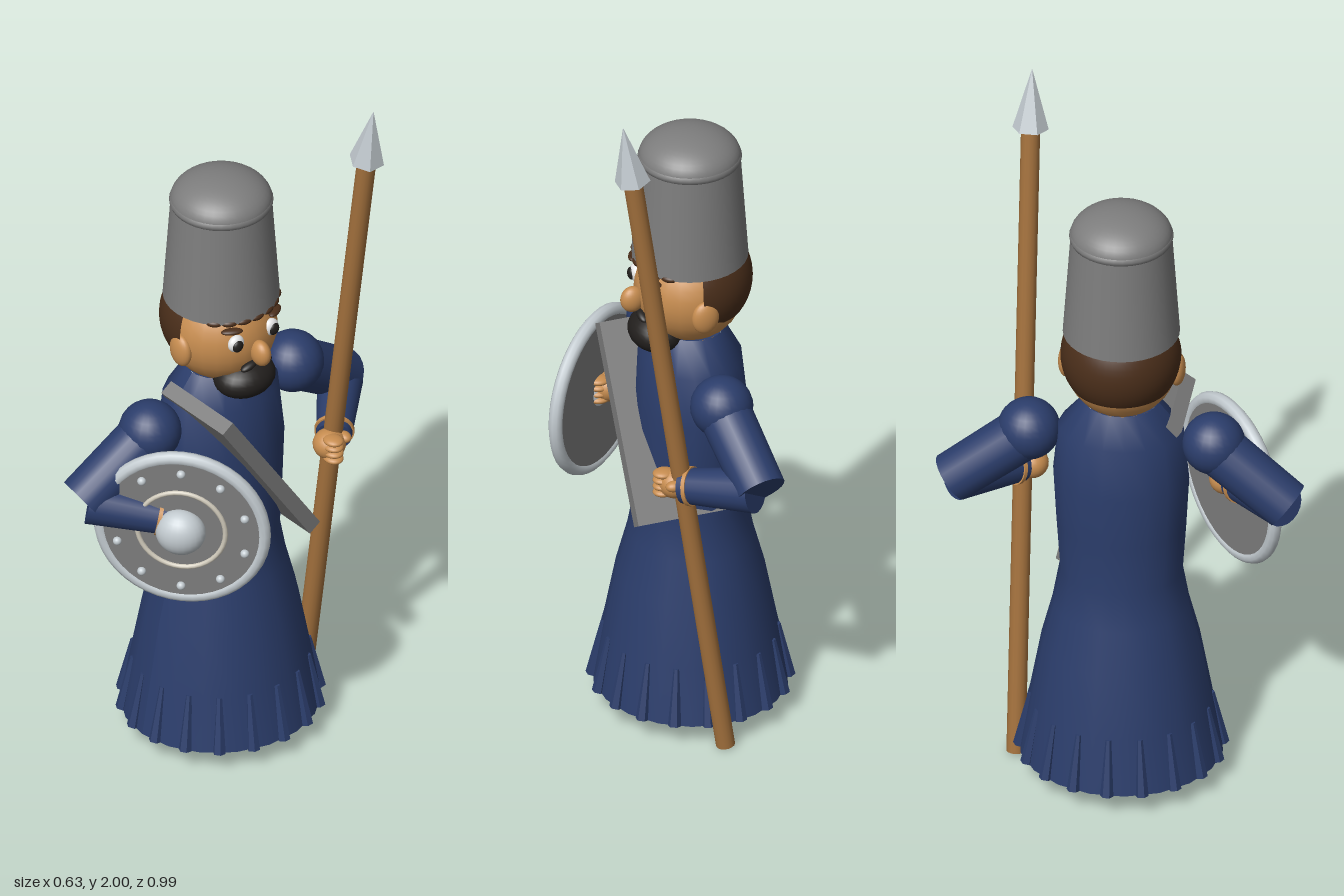
import * as THREE from 'three';

const mat = (name, color) => Object.assign(new THREE.MeshStandardMaterial({ color }), { name });
const V = (x, y, z) => new THREE.Vector3(x, y, z);

export function createModel() {
  const M = {
    blue: mat('robe blue', 0x2b3d6b), grey: mat('iron grey', 0x7d7d7d),
    silver: mat('silver', 0xc3cbd0), wood: mat('spear wood', 0xa3713d),
    skin: mat('skin', 0xc68c4f), hair: mat('hair brown', 0x4a2e1a),
    black: mat('beard black', 0x221f1d), white: mat('eye white', 0xf2f2f2),
    cream: mat('ring cream', 0xcfc9ba),
  };
  const model = new THREE.Group();
  model.name = 'guard';

  const add = (name, geo, m, pos = [0, 0, 0], parent = model) => {
    const mesh = new THREE.Mesh(geo, m);
    mesh.name = name;
    mesh.position.set(...pos);
    parent.add(mesh);
    return mesh;
  };
  const ball = (name, m, pos, r, parent = model) => {
    const mesh = add(name, new THREE.SphereGeometry(1, 24, 16), m, pos, parent);
    mesh.scale.set(...(Array.isArray(r) ? r : [r, r, r]));
    return mesh;
  };
  // Cylinder running from a (radius ra) to b (radius rb)
  const rod = (name, m, a, b, ra, rb, sides = 20, parent = model) => {
    let geo = new THREE.CylinderGeometry(rb, ra, a.distanceTo(b), sides);
    if (sides < 8) {
      geo = geo.toNonIndexed();
      geo.computeVertexNormals();
    }
    const mesh = add(name, geo, m, a.clone().add(b).multiplyScalar(0.5).toArray(), parent);
    mesh.quaternion.setFromUnitVectors(V(0, 1, 0), b.clone().sub(a).normalize());
    return mesh;
  };

  const CX = -0.04; // body axis; the figure faces +x

  // Robe: elliptical lathe, rows of [y, x radius, z radius]
  const rows = [[0.06, 0.262, 0.275], [0.22, 0.235, 0.247], [0.4, 0.2, 0.215], [0.52, 0.168, 0.185],
    [0.63, 0.148, 0.166], [0.78, 0.15, 0.176], [0.93, 0.151, 0.184], [1.08, 0.135, 0.17], [1.165, 0.09, 0.1]];
  const pts = rows.map(([y, , rz]) => new THREE.Vector2(rz, y));
  const robe = new THREE.LatheGeometry(pts, 18);
  const p = robe.attributes.position;
  for (let i = 0; i < p.count; i++) {
    const [, rx, rz] = rows[i % rows.length];
    p.setX(i, p.getX(i) * rx / rz);
  }
  robe.computeVertexNormals();
  add('robe', robe, M.blue, [CX, 0, 0]);
  const hem = add('robeUnderside', new THREE.CircleGeometry(1, 18), M.blue, [CX, 0.062, 0]);
  hem.rotation.x = Math.PI / 2;
  hem.scale.set(0.262, 0.275, 1);
  const collar = add('robeCollar', new THREE.CircleGeometry(1, 18), M.blue, [CX, 1.165, 0]);
  collar.rotation.x = -Math.PI / 2;
  collar.scale.set(0.09, 0.1, 1);

  // Fringe of tassels round the hem
  for (let i = 0; i < 18; i++) {
    const a = i * Math.PI / 9, c = Math.cos(a), s = Math.sin(a);
    rod('hemTassel', M.blue, V(CX + 0.262 * c, 0.06, 0.272 * s),
      V(CX + 0.232 * c, 0.22, 0.242 * s), 0.018, 0.008, 6);
  }

  // Shoes
  for (const s of [-1, 1]) add('shoe', new THREE.BoxGeometry(0.2, 0.06, 0.1), M.hair, [0.05, 0.076, s * 0.085]);

  // Diagonal chest strap
  const strap = add('chestStrap', new THREE.BoxGeometry(0.255, 0.555, 0.042), M.grey, [0.042, 0.885, 0]);
  strap.rotation.x = Math.atan2(0.31, 0.47);

  // Head and hair
  ball('head', M.skin, [-0.037, 1.285, 0], [0.15, 0.152, 0.152]);
  rod('neck', M.skin, V(CX, 1.1, 0), V(CX, 1.2, 0), 0.075, 0.075);
  const hairMat = M.hair;
  hairMat.side = THREE.DoubleSide;
  add('hair', new THREE.SphereGeometry(0.162, 28, 18, -0.55 * Math.PI, 1.1 * Math.PI, 0, 0.68 * Math.PI),
    hairMat, [-0.045, 1.315, 0]);
  for (let i = -3; i <= 3; i++) {
    const a = i * 0.28;
    const lock = ball('fringeLock', M.hair, [-0.037 + 0.148 * Math.cos(a), 1.385, 0.148 * Math.sin(a)], [0.012, 0.01, 0.022]);
    lock.rotation.y = -a;
  }

  // Face
  ball('nose', M.skin, [0.125, 1.272, 0], [0.034, 0.038, 0.024]);
  ball('beard', M.black, [0.058, 1.165, 0], [0.075, 0.055, 0.09]);
  for (const s of [-1, 1]) {
    ball('ear', M.skin, [-0.028, 1.268, s * 0.15], [0.038, 0.048, 0.022]);
    ball('eyeWhite', M.white, [0.094, 1.314, s * 0.06], [0.017, 0.025, 0.025]);
    ball('pupil', M.black, [0.105, 1.312, s * 0.063], [0.011, 0.018, 0.017]);
    const brow = ball('eyebrow', M.hair, [0.095, 1.36, s * 0.075], [0.014, 0.008, 0.03]);
    brow.rotation.y = -s * 0.5;
    const tash = ball('moustache', M.black, [0.107, 1.232, s * 0.026], [0.014, 0.01, 0.027]);
    tash.rotation.x = s * 0.25;
  }

  // Tall hat with domed top
  rod('hat', M.grey, V(-0.038, 1.385, 0), V(-0.038, 1.69, 0), 0.157, 0.136, 36);
  const rim = add('hatRim', new THREE.TorusGeometry(0.122, 0.018, 10, 36), M.grey, [-0.038, 1.69, 0]);
  rim.rotation.x = Math.PI / 2;
  const dome = add('hatDome', new THREE.SphereGeometry(1, 36, 12, 0, Math.PI * 2, 0, Math.PI / 2), M.grey, [-0.038, 1.69, 0]);
  dome.scale.set(0.138, 0.077, 0.138);

  // Arms, mirrored across z
  for (const s of [-1, 1]) {
    const arm = new THREE.Group();
    arm.name = s > 0 ? 'shieldArm' : 'spearArm';
    model.add(arm);
    ball('shoulder', M.blue, [-0.038, 1.045, s * 0.25], 0.085, arm);
    rod('upperArm', M.blue, V(-0.04, 1.04, s * 0.25), V(-0.075, 0.89, s * 0.455), 0.073, 0.069, 20, arm);
    const elbow = V(-0.065, 0.885, s * 0.44), wrist = V(0.085, 0.845, s * 0.29);
    rod('forearm', M.blue, elbow, wrist, 0.062, 0.048, 20, arm);
    rod('cuff', M.skin, elbow.clone().lerp(wrist, 0.87), elbow.clone().lerp(wrist, 0.92), 0.054, 0.054, 20, arm);
    ball('hand', M.skin, [0.1, 0.842, s * 0.262], [0.045, 0.042, 0.045], arm);
    for (let i = 0; i < 4; i++) ball('finger', M.skin, [0.128, 0.872 - i * 0.019, s * 0.252], [0.03, 0.012, 0.026], arm);
    ball('thumb', M.skin, [0.115, 0.855, s * 0.3], [0.024, 0.015, 0.018], arm);
  }

  // Spear
  const foot = V(-0.036, 0.004, -0.285), neck = V(0.228, 1.83, -0.285), tip = V(0.255, 2, -0.285);
  rod('spearShaft', M.wood, foot, neck, 0.026, 0.026, 16);
  rod('spearHead', M.silver, neck, tip, 0.049, 0.001, 6);

  // Round shield, built facing its own +z
  const shield = new THREE.Group();
  shield.name = 'shield';
  shield.position.set(0.125, 0.83, 0.275);
  shield.rotation.y = Math.atan2(0.64, 0.77);
  model.add(shield);
  rod('shieldDisc', M.grey, V(0, 0, -0.015), V(0, 0, 0.015), 0.225, 0.225, 40, shield);
  add('shieldRim', new THREE.TorusGeometry(0.222, 0.019, 10, 44), M.silver, [0, 0, 0], shield);
  add('shieldRing', new THREE.TorusGeometry(0.12, 0.007, 8, 40), M.cream, [0, 0, 0.016], shield);
  ball('shieldBoss', M.silver, [0, 0, 0.025], [0.068, 0.066, 0.055], shield);
  for (let i = 0; i < 10; i++) {
    const a = Math.PI / 2 + i * Math.PI / 5;
    ball('shieldRivet', M.silver, [0.182 * Math.cos(a), 0.182 * Math.sin(a), 0.018], 0.012, shield);
  }
  return model;
}
